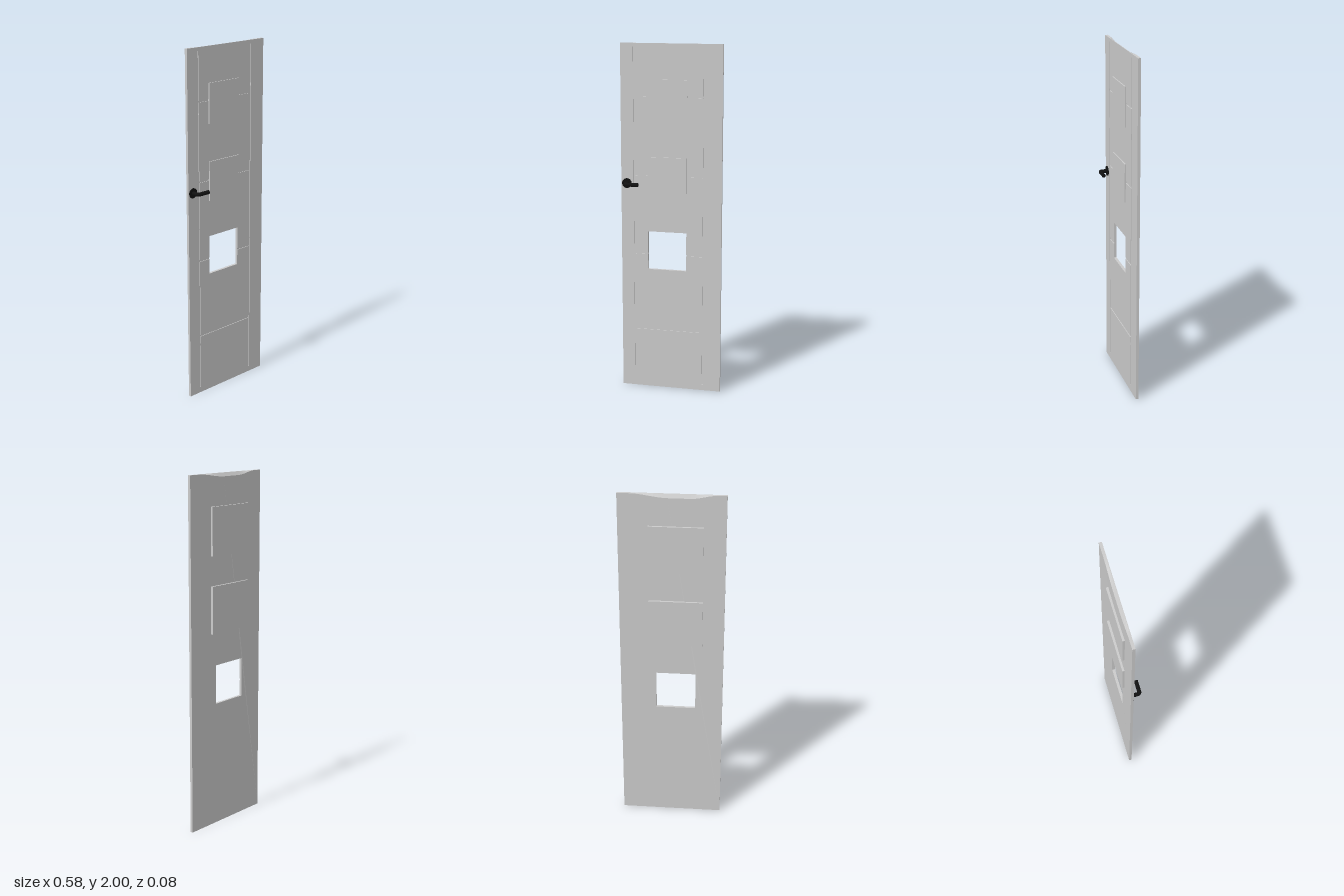
import * as THREE from 'three';

const grey = new THREE.MeshStandardMaterial({ color: 0xcccccc, flatShading: true });
const black = new THREE.MeshStandardMaterial({ color: 0x111111 });

const W = 0.29, H = 2, FRONT = -0.015, FLOOR = -0.019, BACK = -0.031;
const WIN = { x0: -0.135, x1: 0.088, y0: 0.715, y1: 0.938 };

function add(parent, name, geometry, material) {
  const mesh = new THREE.Mesh(geometry, material);
  mesh.name = name;
  parent.add(mesh);
  return mesh;
}

// Box given by its limits
function slab(parent, name, x0, x1, y0, y1, z0, z1) {
  const mesh = add(parent, name, new THREE.BoxGeometry(x1 - x0, y1 - y0, z1 - z0), grey);
  mesh.position.set((x0 + x1) / 2, (y0 + y1) / 2, (z0 + z1) / 2);
}

// Core leaf with a window opening; its rear top edge is worn down in the middle
function leafCore() {
  const shape = new THREE.Shape();
  shape.moveTo(-W, 0);
  shape.lineTo(W, 0);
  const n = 24;
  for (let i = 0; i <= n; i++) shape.lineTo(W - (2 * W * i) / n, H);
  shape.closePath();
  const hole = new THREE.Path();
  hole.moveTo(WIN.x0, WIN.y0);
  hole.lineTo(WIN.x0, WIN.y1);
  hole.lineTo(WIN.x1, WIN.y1);
  hole.lineTo(WIN.x1, WIN.y0);
  hole.closePath();
  shape.holes.push(hole);
  const g = new THREE.ExtrudeGeometry(shape, { depth: FLOOR - BACK, bevelEnabled: false });
  g.translate(0, 0, BACK);
  const p = g.attributes.position;
  for (let i = 0; i < p.count; i++) {
    if (p.getY(i) < H - 0.001 || p.getZ(i) > BACK + 0.001) continue;
    const x = p.getX(i);
    const dip = THREE.MathUtils.smoothstep(x, -0.24, -0.1) * (1 - THREE.MathUtils.smoothstep(x, 0.02, 0.22));
    p.setY(i, H - 0.02 * dip);
    p.setZ(i, BACK - 0.002 * dip);
  }
  g.computeVertexNormals();
  return g;
}

export function createModel() {
  const model = new THREE.Group();
  model.name = 'door';

  add(model, 'leafCore', leafCore(), grey);

  // Raised front skin: the gaps between its pieces are the grooves
  const skin = new THREE.Group();
  skin.name = 'frontSkin';
  model.add(skin);
  const gx = [-0.213, 0.187], g = 0.0045;
  const left = gx[0] + g, right = gx[1] - g;
  slab(skin, 'stile', -W, gx[0] - g, 0, H, FLOOR, FRONT);
  slab(skin, 'stile', gx[1] + g, W, 0, H, FLOOR, FRONT);
  const rows = [0.355, 0.808, 1.265, 1.71];
  const ys = [0, ...rows.flatMap((y) => [y - 0.005, y + 0.005]), H];
  for (let i = 0; i < ys.length; i += 2) {
    const y0 = ys[i], y1 = ys[i + 1];
    // Cut the tiles around the window opening
    const a = Math.max(y0, WIN.y0), b = Math.min(y1, WIN.y1);
    if (a >= b) {
      slab(skin, 'tile', left, right, y0, y1, FLOOR, FRONT);
      continue;
    }
    slab(skin, 'tileSide', left, WIN.x0, y0, y1, FLOOR, FRONT);
    slab(skin, 'tileSide', WIN.x1, right, y0, y1, FLOOR, FRONT);
    if (a > y0) slab(skin, 'tileCentre', WIN.x0, WIN.x1, y0, a, FLOOR, FRONT);
    if (b < y1) slab(skin, 'tileCentre', WIN.x0, WIN.x1, b, y1, FLOOR, FRONT);
  }
  // Short stops closing the ends of the vertical grooves
  for (const x of gx) {
    slab(skin, 'grooveStop', x - g, x + g, 0, 0.035, FLOOR, FRONT);
    slab(skin, 'grooveStop', x - g, x + g, 1.98, H, FLOOR, FRONT);
  }

  // Upper panes, with a larger plate on the back of each
  for (const y of [1.256, 1.69]) {
    slab(model, 'frontPane', WIN.x0, 0.09, y - 0.112, y + 0.112, FLOOR, -0.009);
    slab(model, 'backPlate', -0.171, 0.128, y - 0.134, y + 0.134, -0.044, BACK + 0.001);
  }

  // Lever handle
  const handle = new THREE.Group();
  handle.name = 'handle';
  handle.position.set(-0.257, 1.213, 0);
  model.add(handle);
  const rose = add(handle, 'rosette', new THREE.CylinderGeometry(0.028, 0.028, 0.004, 32), black);
  rose.rotation.x = Math.PI / 2;
  rose.position.z = -0.013;
  const path = new THREE.CurvePath();
  const v = (x, z) => new THREE.Vector3(x, 0, z);
  path.add(new THREE.LineCurve3(v(0, -0.014), v(0, 0.016)));
  path.add(new THREE.QuadraticBezierCurve3(v(0, 0.016), v(0, 0.029), v(0.013, 0.029)));
  path.add(new THREE.LineCurve3(v(0.013, 0.029), v(0.076, 0.029)));
  add(handle, 'lever', new THREE.TubeGeometry(path, 40, 0.011, 16), black);
  const cap = add(handle, 'leverEnd', new THREE.CircleGeometry(0.011, 16), black);
  cap.rotation.y = Math.PI / 2;
  cap.position.set(0.076, 0, 0.029);

  return model;
}
